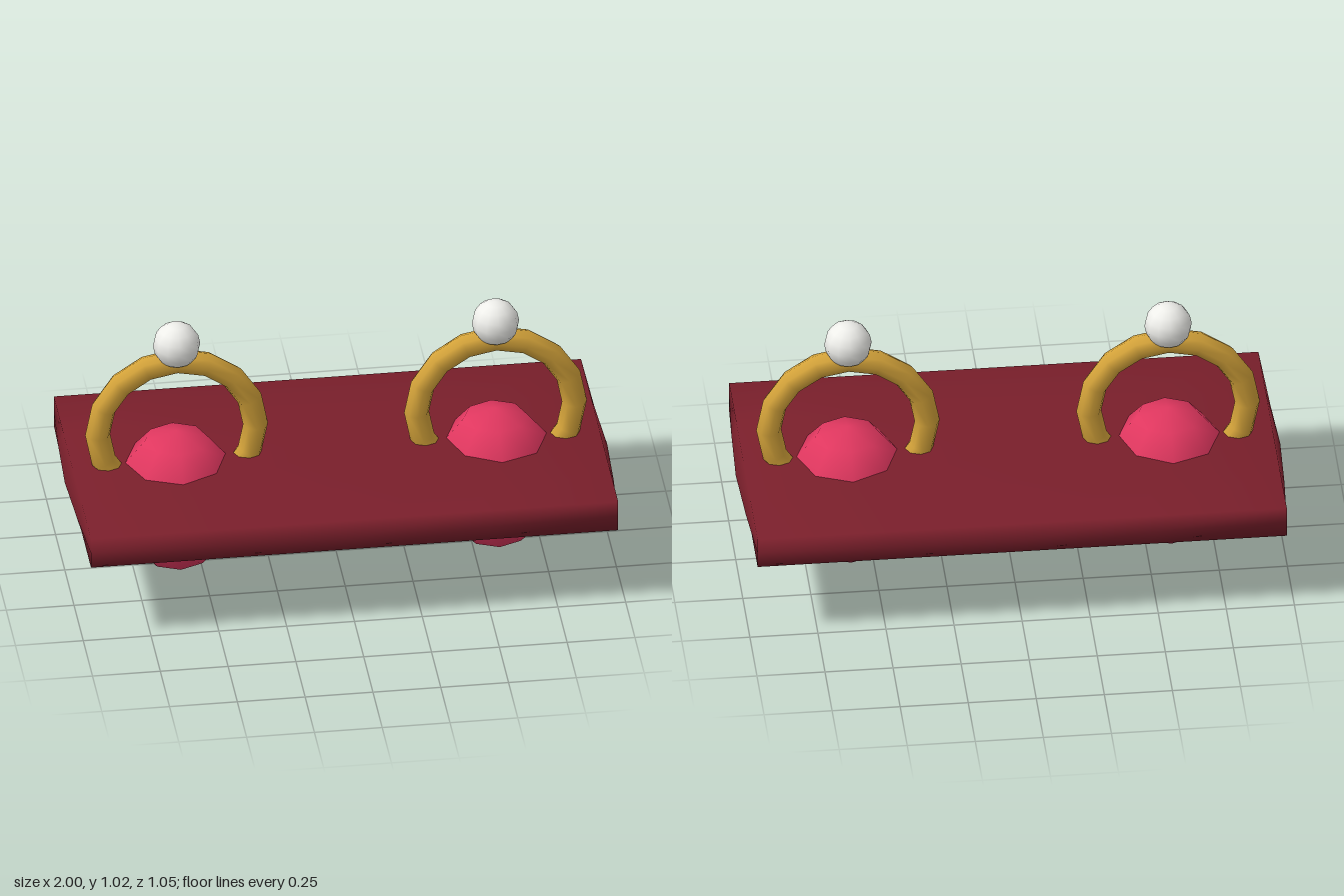
import * as THREE from 'three';
import { mergeVertices } from 'three/addons/utils/BufferGeometryUtils.js';

const mat = (color) => new THREE.MeshStandardMaterial({ color });

function add(parent, name, geometry, material, x, y, z) {
  const mesh = new THREE.Mesh(geometry, material);
  mesh.name = name;
  mesh.position.set(x, y, z);
  parent.add(mesh);
  return mesh;
}

// Box with softly bulging faces and normals shared over the edges.
function pillowBox(half, bulge) {
  let g = new THREE.BoxGeometry(2, 2, 2, 4, 2, 4);
  g.deleteAttribute('uv');
  g.deleteAttribute('normal');
  g = mergeVertices(g);
  const p = g.attributes.position;
  const swell = (a, b) => (1 - Math.abs(a) ** 1.4) * (1 - Math.abs(b) ** 1.4);
  for (let i = 0; i < p.count; i++) {
    const x = p.getX(i), y = p.getY(i), z = p.getZ(i);
    p.setXYZ(
      i,
      x * (half.x + bulge.x * swell(y, z)),
      y * (half.y + bulge.y * swell(x, z)),
      z * (half.z + bulge.z * swell(x, y))
    );
  }
  g.computeVertexNormals();
  return g;
}

export function createModel() {
  const model = new THREE.Group();
  model.name = 'ornament';

  const red = mat(0x7a1f2b);
  const pink = mat(0xe0375f);
  const gold = mat(0xd4a33a);
  const white = mat(0xeeeeea);

  // Cushion-like slab
  const slab = pillowBox(
    new THREE.Vector3(0.972, 0.061, 0.504),
    new THREE.Vector3(0.028, 0.023, 0.022)
  );
  add(model, 'slab', slab, red, 0, 0.374, 0);

  // A bead, a ring and a pearl on each side
  const bead = new THREE.SphereGeometry(0.235, 8, 6);
  const ring = new THREE.TorusGeometry(0.291, 0.046, 8, 16);
  const pearl = new THREE.SphereGeometry(0.087, 12, 8);
  for (const [side, s] of [['left', 1], ['right', -1]]) {
    const x = 0.588 * s;
    add(model, side + 'Bead', bead, pink, x, 0.282, 0).scale.y = 1.2;
    add(model, side + 'Ring', ring, gold, x, 0.57, 0);
    add(model, side + 'Pearl', pearl, white, x, 0.932, 0);
  }
  return model;
}
